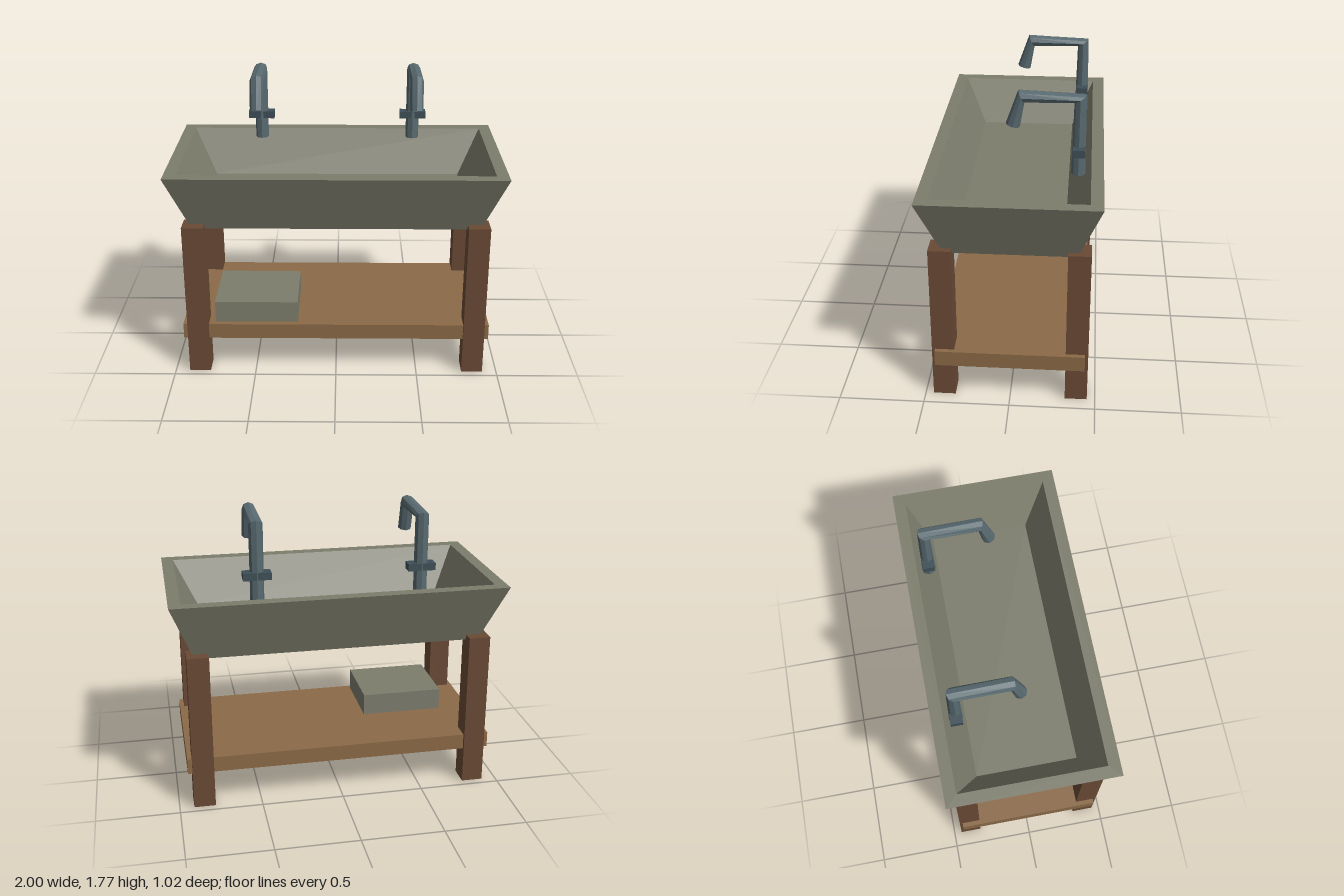
import * as THREE from 'three';

const mat = (name, color) => {
  const m = new THREE.MeshStandardMaterial({ color });
  m.name = name;
  return m;
};

// Skin a series of rings (counter-clockwise about the direction of travel), flat faced and capped
function loft(rings) {
  const pos = [];
  const tri = (...pts) => pts.forEach((p) => pos.push(p.x, p.y, p.z));
  const n = rings[0].length;
  for (let r = 0; r < rings.length - 1; r++) {
    for (let i = 0; i < n; i++) {
      const j = (i + 1) % n, a = rings[r], b = rings[r + 1];
      tri(a[i], a[j], b[j]);
      tri(a[i], b[j], b[i]);
    }
  }
  const first = rings[0], last = rings[rings.length - 1];
  for (let i = 1; i < n - 1; i++) {
    tri(first[0], first[i + 1], first[i]);
    tri(last[0], last[i], last[i + 1]);
  }
  const g = new THREE.BufferGeometry();
  g.setAttribute('position', new THREE.Float32BufferAttribute(pos, 3));
  g.computeVertexNormals();
  return g;
}

// Horizontal rectangle ring with half sizes x, z at height y
const rect = (x, z, y) =>
  [[x, z], [x, -z], [-x, -z], [-x, z]].map(([px, pz]) => new THREE.Vector3(px, y, pz));

// Eight-sided pipe whose rings follow the smoothed path direction
function pipe(points, radius, sides = 8) {
  const u = new THREE.Vector3(1, 0, 0);
  return loft(points.map((p, k) => {
    const prev = points[Math.max(k - 1, 0)];
    const next = points[Math.min(k + 1, points.length - 1)];
    const v = next.clone().sub(prev).normalize().cross(u);
    return Array.from({ length: sides }, (_, i) => {
      const a = (i / sides) * Math.PI * 2;
      return p.clone().addScaledVector(u, Math.cos(a) * radius).addScaledVector(v, Math.sin(a) * radius);
    });
  }));
}

export function createModel() {
  const model = new THREE.Group();
  model.name = 'washstand';
  const stone = mat('stone', 0x7d7d6d);
  const darkWood = mat('darkWood', 0x6a4a35);
  const lightWood = mat('lightWood', 0x8b6a47);
  const metal = mat('metal', 0x586a70);
  const darkMetal = mat('darkMetal', 0x3f4f57);

  const add = (name, geometry, material, parent = model) => {
    const mesh = new THREE.Mesh(geometry, material);
    mesh.name = name;
    parent.add(mesh);
    return mesh;
  };
  // Box given by its minimum and maximum along each axis
  const box = (name, [x0, x1], [y0, y1], [z0, z1], material, parent) =>
    add(name, new THREE.BoxGeometry(x1 - x0, y1 - y0, z1 - z0), material, parent)
      .position.set((x0 + x1) / 2, (y0 + y1) / 2, (z0 + z1) / 2);

  // Flared basin: outer wall, rim, inner wall and floor
  add('basin', loft([
    rect(0.862, 0.375, 0.937),
    rect(1, 0.508, 1.3),
    rect(0.928, 0.436, 1.3),
    rect(0.787, 0.302, 1.03),
  ]), stone);

  // Four square legs
  for (const sx of [-1, 1]) {
    for (const sz of [-1, 1]) {
      const leg = add('leg', new THREE.BoxGeometry(0.13, 0.972, 0.13), darkWood);
      leg.position.set(sx * 0.848, 0.486, sz * 0.388);
    }
  }

  // Lower shelf with a block resting on it
  box('shelf', [-0.94, 0.94], [0.222, 0.318], [-0.435, 0.435], lightWood);
  box('shelfBlock', [-0.743, -0.235], [0.318, 0.454], [-0.03, 0.4], stone);

  // Two taps, each a bent pipe with a cross handle
  const path = [[1.27, -0.362], [1.725, -0.364], [1.73, -0.037], [1.558, 0.011]]
    .map(([y, z]) => new THREE.Vector3(0, y, z));
  for (const sx of [-1, 1]) {
    const tap = new THREE.Group();
    tap.name = 'tap';
    tap.position.x = sx * 0.485;
    add('spout', pipe(path, 0.041), metal, tap);
    box('handle', [-0.082, 0.082], [1.401, 1.445], [-0.4, -0.328], darkMetal, tap);
    model.add(tap);
  }
  return model;
}
